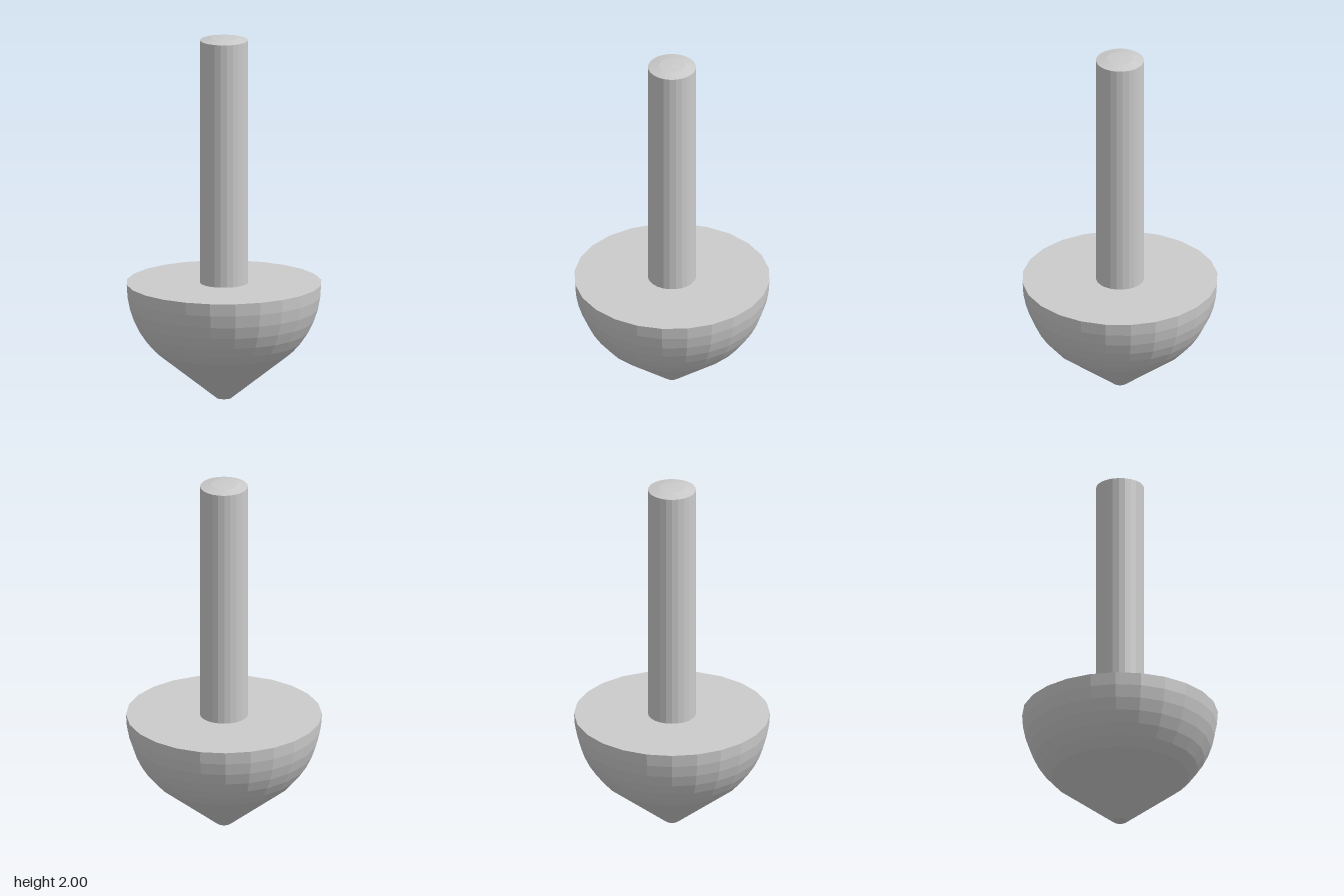
import * as THREE from 'three';

const SIDES = 24;

export function createModel() {
  const model = new THREE.Group();
  const material = new THREE.MeshStandardMaterial({ color: 0xcccccc, flatShading: true });

  // Faceted solid of revolution from [radius, height] points, listed bottom to top
  function turned(name, points) {
    const profile = points.map(([r, y]) => new THREE.Vector2(r, y));
    const mesh = new THREE.Mesh(new THREE.LatheGeometry(profile, SIDES), material);
    mesh.name = name;
    model.add(mesh);
  }

  // Body: blunt tip, cone, then a spherical flank up to a flat deck
  const radius = 0.53, deckY = 0.64, steps = 6;
  const body = [[0, 0], [0.04, 0]];
  for (let i = 0; i <= steps; i++) {
    const a = (Math.PI / 4) * (1 - i / steps);
    body.push([radius * Math.cos(a), deckY - radius * Math.sin(a)]);
  }
  body.push([0, deckY]);
  turned('body', body);

  // Stem with a slightly domed end
  turned('stem', [[0.13, deckY], [0.13, 1.985], [0.07, 1.997], [0, 2]]);

  return model;
}
